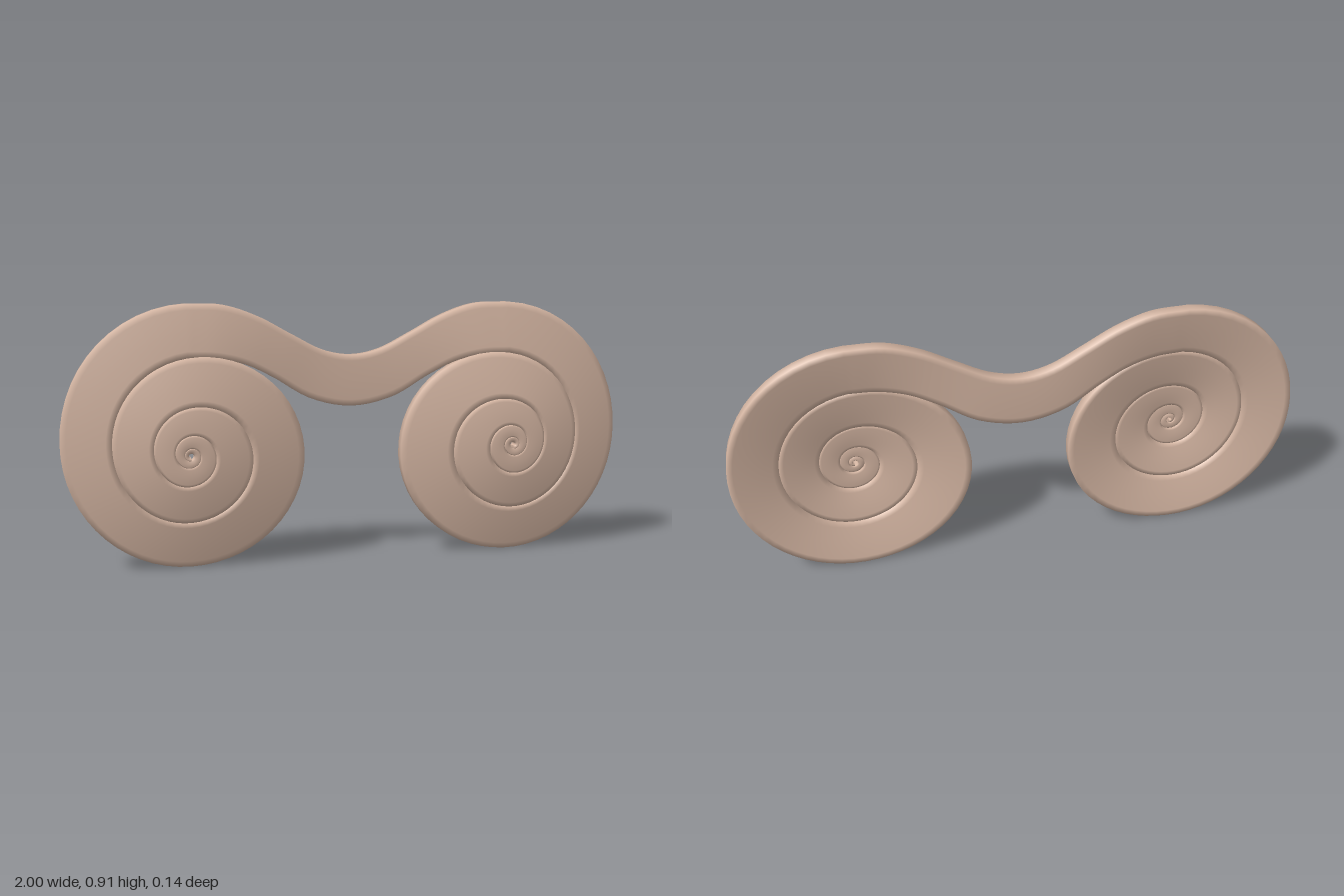
import * as THREE from 'three';

export function createModel() {
  const group = new THREE.Group();
  const clay = new THREE.MeshStandardMaterial({ color: 0xd4b5a2 });
  clay.name = 'warm clay';

  // Outer radius and front depth of the volute, one value per quarter turn
  const radii = [0.507, 0.425, 0.398, 0.4, 0.325, 0.255, 0.235, 0.213, 0.16, 0.12, 0.105, 0.085,
    0.068, 0.05, 0.04, 0.033, 0.026, 0.02, 0.015, 0.012, 0.009, 0.007, 0.005];
  const depths = [-0.022, -0.02, -0.012, -0.008, 0.012, 0.02, 0.028, 0.035, 0.048, 0.052, 0.056, 0.059,
    0.061, 0.062, 0.063, 0.064, 0.065, 0.065, 0.065, 0.065, 0.065, 0.065, 0.065];
  const last = radii.length - 1;
  const table = new THREE.SplineCurve(radii.map((r, i) => new THREE.Vector2(r, depths[i])));
  const spiral = (t, turnAhead, drop) => {
    const { x: r, y: z } = table.getPoint((t + turnAhead) / last);
    const a = Math.PI / 2 * (1 - t);
    return new THREE.Vector3(0.575 + r * Math.cos(a), 0.4 + r * Math.sin(a), z - drop);
  };

  // Saddle edges from the middle out to the top of the volute
  const v = (x, y, z) => new THREE.Vector3(x, y, z);
  const upper = [v(0, 0.725, -0.031), v(0.1, 0.743, -0.03), v(0.22, 0.803, -0.026),
    v(0.33, 0.862, -0.024), v(0.45, 0.902, -0.023), spiral(0, 0, 0)];
  const lower = [v(0, 0.545, -0.031), v(0.15, 0.576, -0.028), v(0.28, 0.652, -0.016),
    v(0.38, 0.7, -0.005), v(0.48, 0.722, 0.004), spiral(0, 4, 0.004)];
  // Mirrored start points make the middle run level
  const along = (pts) => {
    const full = [...pts.slice(1).reverse().map((p) => v(-p.x, p.y, p.z)), ...pts];
    const curve = new THREE.CatmullRomCurve3(full);
    return (s) => curve.getPoint(0.5 + s / 2);
  };
  const upperAt = along(upper), lowerAt = along(lower);

  // Cross-section: a thin band with a slight swell on front and back
  const thickness = 0.036;
  const across = [0, 0.12, 0.5, 0.88, 1];
  const swell = [0, 0.002, 0.003, 0.002, 0];
  const section = (outer, inner) => {
    const front = across.map((u, i) => {
      const p = outer.clone().lerp(inner, u);
      p.z += swell[i];
      return p;
    });
    const back = across.map((u, i) => {
      const p = outer.clone().lerp(inner, u);
      p.z -= thickness + swell[i];
      return p;
    }).reverse();
    return [...front, ...back];
  };

  // Half of the band: saddle, then the coils winding inward
  const half = [];
  const saddleSteps = 24, perQuarter = 14, quarters = 18;
  for (let i = 0; i < saddleSteps; i++) {
    half.push(section(upperAt(i / saddleSteps), lowerAt(i / saddleSteps)));
  }
  for (let i = 0; i <= quarters * perQuarter; i++) {
    const t = i / perQuarter;
    half.push(section(spiral(t, 0, 0), spiral(t, 4, 0.004)));
  }
  const mirrored = half.slice(1).reverse().map((ring) => ring.map((p) => v(-p.x, p.y, p.z)));
  const rings = [...mirrored, ...half];

  // Skin the rings and cap both ends
  const n = across.length * 2, end = (rings.length - 1) * n;
  const index = [];
  for (let i = 0; i < rings.length - 1; i++) {
    for (let j = 0; j < n; j++) {
      const k = (j + 1) % n;
      const a = i * n + j, b = i * n + k;
      index.push(a, b, b + n, a, b + n, a + n);
    }
  }
  for (let j = 1; j < n - 1; j++) {
    index.push(0, j + 1, j, end, end + j, end + j + 1);
  }
  const geometry = new THREE.BufferGeometry().setFromPoints(rings.flat());
  geometry.setIndex(index);
  geometry.computeVertexNormals();

  const scroll = new THREE.Mesh(geometry, clay);
  scroll.name = 'doubleScroll';
  group.add(scroll);
  return group;
}
